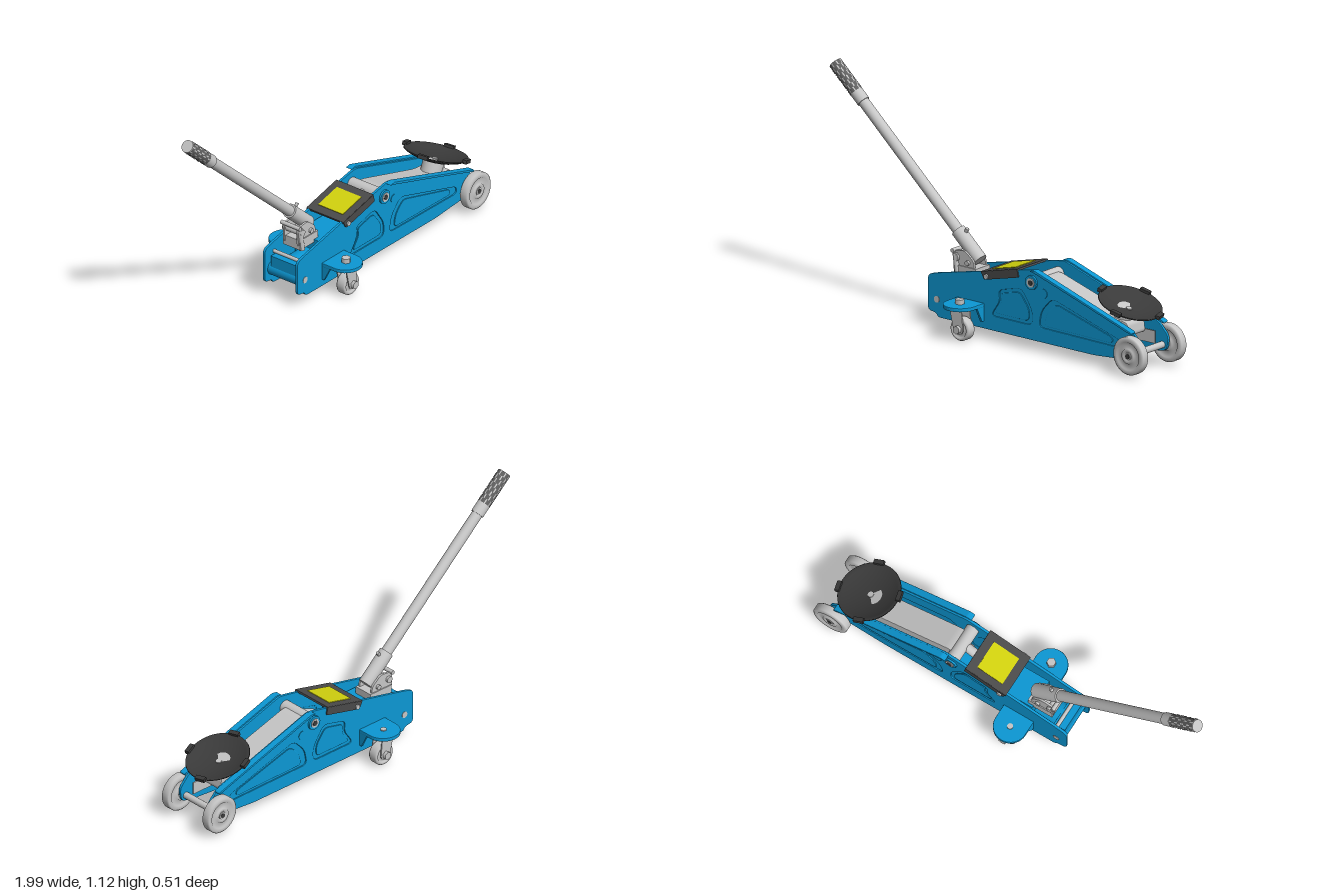
import * as THREE from 'three';

const mat = (name, color) => {
  const m = new THREE.MeshStandardMaterial({ color });
  m.name = name;
  return m;
};

export function createModel() {
  const root = new THREE.Group();
  root.name = 'floorJack';
  const blue = mat('bluePaint', 0x0c98d4);
  const steel = mat('lightSteel', 0xc6c6c6);
  const dark = mat('darkRubber', 0x3a3a3a);
  const cover = mat('coverGrey', 0x4a4a4a);
  const grip = mat('gripGrey', 0x606060);
  const yellow = mat('yellowLabel', 0xd2d20e);
  const V = (x, y, z = 0) => new THREE.Vector3(x, y, z);

  const add = (name, geo, m, x = 0, y = 0, z = 0, parent = root) => {
    const mesh = new THREE.Mesh(geo, m);
    mesh.name = name;
    mesh.position.set(x, y, z);
    parent.add(mesh);
    return mesh;
  };
  const box = (name, m, w, h, d, x, y, z, parent) => add(name, new THREE.BoxGeometry(w, h, d), m, x, y, z, parent);
  // cylinder between two points
  const rod = (name, m, a, b, r, seg = 24, r2 = r) => {
    const dir = b.clone().sub(a);
    const mesh = add(name, new THREE.CylinderGeometry(r2, r, dir.length(), seg), m);
    mesh.position.copy(a).add(b).multiplyScalar(0.5);
    mesh.quaternion.setFromUnitVectors(V(0, 1), dir.normalize());
    return mesh;
  };
  // closed polygon with rounded corners
  const rounded = (pts, r, Type = THREE.Shape) => {
    const s = new Type(), n = pts.length;
    pts.forEach((p, i) => {
      const c = new THREE.Vector2(...p);
      const toward = q => {
        const d = new THREE.Vector2(...q).sub(c);
        return c.clone().add(d.setLength(Math.min(r, d.length() * 0.45)));
      };
      const a = toward(pts[(i + n - 1) % n]), b = toward(pts[(i + 1) % n]);
      i ? s.lineTo(a.x, a.y) : s.moveTo(a.x, a.y);
      s.quadraticCurveTo(c.x, c.y, b.x, b.y);
    });
    s.closePath();
    return s;
  };
  const extrude = (shape, depth, bevel = 0) => new THREE.ExtrudeGeometry(shape, {
    depth: depth - 2 * bevel, bevelEnabled: bevel > 0, bevelSize: bevel, bevelThickness: bevel,
    bevelOffset: -bevel, bevelSegments: 2, curveSegments: 8,
  }).translate(0, 0, bevel - depth / 2);

  // Side plates with pressed panels
  const outline = [[-0.33, 0.075], [-0.28, 0.07], [-0.27, 0.05], [0.66, 0.05], [0.84, 0.065], [0.93, 0.08],
    [0.94, 0.15], [0.88, 0.212], [0.32, 0.39], [0.24, 0.375], [-0.1, 0.3], [-0.28, 0.26], [-0.33, 0.245]];
  const panels = [
    [[0.045, 0.12], [0.29, 0.12], [0.29, 0.19], [0.225, 0.285], [0.09, 0.25], [0.1, 0.2]],
    [[0.33, 0.12], [0.81, 0.115], [0.81, 0.15], [0.41, 0.27], [0.345, 0.2]],
  ];
  for (const s of [1, -1]) {
    const side = new THREE.Group();
    side.name = s > 0 ? 'frontSide' : 'backSide';
    root.add(side);
    const plate = rounded(outline, 0.025);
    panels.forEach(p => plate.holes.push(rounded(p, 0.03, THREE.Path)));
    add('sidePlate', extrude(plate, 0.014, 0.003), blue, 0, 0, s * 0.096, side);
    panels.forEach(p => {
      add('pressedPanel', extrude(rounded(p, 0.03), 0.006), blue, 0, 0, s * 0.094, side);
      const mid = p.reduce((a, q) => [a[0] + q[0] / p.length, a[1] + q[1] / p.length], [0, 0]);
      const inner = p.map(q => [mid[0] + (q[0] - mid[0]) * 0.84, mid[1] + (q[1] - mid[1]) * 0.78]);
      add('panelField', extrude(rounded(inner, 0.025), 0.008, 0.002), blue, 0, 0, s * 0.098, side);
    });
    // outward flange along the sloping top edge
    add('topFlange', extrude(rounded([[0.3, 0.388], [0.33, 0.394], [0.6, 0.308], [0.9, 0.212], [0.9, 0.2],
      [0.6, 0.296], [0.33, 0.38]], 0.006), 0.034, 0.003), blue, 0, 0, s * 0.116, side);
    // pivot boss, dimple and rear hole
    const disc = (name, m, r, d, x, y, z) =>
      add(name, new THREE.CylinderGeometry(r, r, d, 24).rotateX(Math.PI / 2), m, x, y, s * z, side);
    disc('pivotBoss', blue, 0.034, 0.012, 0.29, 0.325, 0.106);
    disc('pivotPin', steel, 0.022, 0.012, 0.29, 0.325, 0.109);
    disc('pivotBore', dark, 0.013, 0.004, 0.29, 0.325, 0.114);
    disc('dimple', blue, 0.022, 0.008, 0.36, 0.285, 0.102);
    disc('rearPin', steel, 0.016, 0.01, -0.275, 0.135, 0.1);
    disc('coverRivet', steel, 0.012, 0.01, 0.025, 0.303, 0.112);

    // Front wheel
    const rim = [[0, 0.018], [0.02, 0.018], [0.022, 0.023], [0.036, 0.023], [0.038, 0.016], [0.062, 0.016],
      [0.066, 0.022], [0.083, 0.022], [0.09, 0.016]];
    const profile = [...rim.map(([r, h]) => [r, -h]), ...rim.slice().reverse()].map(p => new THREE.Vector2(...p));
    const wheel = (name, k, w, x, y, z) => add(name,
      new THREE.LatheGeometry(profile.map(p => p.clone().multiply(new THREE.Vector2(k, w))), 40).rotateX(Math.PI / 2),
      steel, x, y, z, side);
    wheel('frontWheel', 1, 1, 0.905, 0.105, s * 0.136);
    disc('axleEnd', steel, 0.018, 0.01, 0.905, 0.105, 0.155);
    disc('axleRecess', dark, 0.012, 0.003, 0.905, 0.105, 0.16);

    // Caster wing with rounded end and gussets
    const wing = new THREE.Shape();
    wing.moveTo(-0.155, s * 0.095);
    for (let i = 0; i <= 20; i++) {
      const a = Math.PI * (1 - i / 20);
      wing.lineTo(-0.075 + 0.08 * Math.cos(a), s * (0.175 + 0.08 * Math.sin(a)));
    }
    wing.lineTo(0.005, s * 0.095);
    add('casterWing', extrude(wing, 0.018, 0.003).rotateX(Math.PI / 2), blue, 0, 0.161, 0, side);
    for (const x of [-0.148, -0.002]) {
      const gusset = new THREE.Shape([[0.095, 0.085], [0.115, 0.085], [0.15, 0.155], [0.095, 0.155]]
        .map(([z, y]) => new THREE.Vector2(s * z, y)));
      add('wingGusset', extrude(gusset, 0.012).rotateY(-Math.PI / 2), blue, x, 0, 0, side);
    }
    // Swivel caster
    wheel('casterWheel', 0.61, 1.1, -0.06, 0.055, s * 0.177);
    for (const z of [0.148, 0.207]) {
      add('casterFork', extrude(rounded([[-0.11, 0.15], [-0.04, 0.15], [-0.03, 0.045], [-0.06, 0.03], [-0.085, 0.045]],
        0.018), 0.006), steel, 0, 0, s * z, side);
    }
    box('forkCrown', steel, 0.07, 0.008, 0.062, -0.075, 0.147, s * 0.178, side);
    disc('casterAxle', steel, 0.012, 0.09, -0.06, 0.057, 0.18);
    add('casterNut', new THREE.CylinderGeometry(0.02, 0.02, 0.016, 6).rotateX(Math.PI / 2), steel,
      -0.06, 0.057, s * 0.218, side);
    add('casterStem', new THREE.CylinderGeometry(0.014, 0.014, 0.03, 20), steel, -0.075, 0.16, s * 0.178, side);
    if (s > 0) add('casterBolt', new THREE.CylinderGeometry(0.022, 0.022, 0.022, 6), steel, -0.075, 0.182, 0.18, side);

    // Parallel link inside the plate
    rod('linkBar', steel, V(0.28, 0.11, s * 0.078), V(0.85, 0.12, s * 0.078), 0.011, 12);
    box('armCheek', steel, 0.12, 0.06, 0.006, 0.82, 0.14, s * 0.068, side);
  }

  // Cross members and hydraulic body
  const cross = (name, m, x, y, r, h = 0.09) => rod(name, m, V(x, y, -h), V(x, y, h), r);
  cross('rearTube', blue, -0.275, 0.135, 0.036);
  cross('frontAxle', steel, 0.905, 0.105, 0.016, 0.15);
  cross('armPivot', steel, 0.29, 0.325, 0.032, 0.088);
  cross('rearRod', steel, -0.265, 0.215, 0.009, 0.1);
  rod('hydraulicCylinder', blue, V(-0.25, 0.14), V(0.3, 0.14), 0.065, 32);
  rod('ram', steel, V(0.28, 0.14), V(0.5, 0.15), 0.026);
  rod('ramEye', steel, V(0.2, 0.29), V(0.27, 0.32), 0.022);
  box('pumpBlock', blue, 0.2, 0.12, 0.15, -0.03, 0.2, 0);
  box('rearBlock', blue, 0.06, 0.06, 0.15, -0.275, 0.18, 0);

  // Lifting arm
  add('liftArm', extrude(rounded([[0.27, 0.345], [0.33, 0.345], [0.7, 0.235], [0.82, 0.225], [0.83, 0.16],
    [0.7, 0.13], [0.3, 0.27]], 0.02), 0.12, 0.004), steel);
  rod('saddlePost', steel, V(0.745, 0.2), V(0.775, 0.275), 0.05, 28);

  // Tilted dished saddle with rim teeth
  const saddle = new THREE.Group();
  saddle.name = 'saddle';
  saddle.position.set(0.778, 0.265, 0);
  saddle.rotation.z = -0.32;
  root.add(saddle);
  const dish = [[0, 0], [0.05, 0.002], [0.1, 0.013], [0.135, 0.026], [0.152, 0.035], [0.15, 0.041],
    [0.132, 0.033], [0.1, 0.021], [0.05, 0.01], [0, 0.008]].map(p => new THREE.Vector2(...p));
  add('saddleDish', new THREE.LatheGeometry(dish, 48), dark, 0, 0, 0, saddle);
  add('saddleBolt', new THREE.CylinderGeometry(0.014, 0.014, 0.006, 16), steel, 0, 0.01, 0, saddle);
  for (let i = 0; i < 4; i++) {
    const a = 0.25 + i * Math.PI / 2;
    const tooth = box('saddleTooth', dark, 0.022, 0.018, 0.05, 0.152 * Math.cos(a), 0.041, -0.152 * Math.sin(a), saddle);
    tooth.rotation.y = a;
  }

  // Sloping cover with label
  const lid = new THREE.Group();
  lid.name = 'topCover';
  lid.position.set(0.1, 0.343, 0);
  lid.rotation.z = 0.24;
  root.add(lid);
  box('coverPlate', cover, 0.222, 0.01, 0.216, 0, 0, 0, lid);
  box('coverLabel', yellow, 0.138, 0.004, 0.145, 0, 0.006, 0, lid);
  for (const s of [1, -1]) {
    add('coverFlap', extrude(rounded([[-0.111, 0.004], [-0.1, -0.035], [0.11, -0.035], [0.111, 0.004]], 0.008), 0.006),
      cover, 0, 0, s * 0.107, lid);
  }

  // Handle, socket and grip
  const hz = -0.014;
  const along = t => V(-0.115 - 0.745 * t, 0.325 + 0.667 * t, hz);
  rod('handleSocket', steel, along(0), along(0.175), 0.034, 28);
  rod('handleTube', steel, along(0.15), along(0.96), 0.026, 28);
  rod('gripCollar', steel, along(0.93), along(0.985), 0.031, 28);
  rod('gripCore', steel, along(0.98), along(1.158), 0.03, 28);
  const gripGroup = new THREE.Group();
  gripGroup.name = 'gripPattern';
  gripGroup.position.copy(along(0.985));
  gripGroup.quaternion.setFromUnitVectors(V(0, 1), along(1).sub(along(0)).normalize());
  root.add(gripGroup);
  const pad = new THREE.CylinderGeometry(0.032, 0.032, 0.021, 4, 1, true, 0, Math.PI / 5.2);
  for (let row = 0; row < 8; row++) {
    for (let c = 0; c < 8; c++) {
      add('gripPad', pad, grip, 0, 0.012 + row * 0.0212, 0, gripGroup).rotation.y = (c + (row % 2) * 0.35) * Math.PI / 4;
    }
  }

  // Yoke and pins at the foot of the handle
  box('yokeBase', steel, 0.13, 0.05, 0.1, -0.165, 0.27, hz);
  for (const z of [-0.04, 0.04]) {
    add('yokeCheek', extrude(rounded([[-0.235, 0.26], [-0.11, 0.26], [-0.115, 0.325], [-0.17, 0.37], [-0.24, 0.36]],
      0.02), 0.01), steel, 0, 0, hz + z);
  }
  for (const [x, y, r] of [[-0.15, 0.315, 0.012], [-0.215, 0.33, 0.016], [-0.235, 0.36, 0.01]]) {
    rod('yokePin', steel, V(x, y, hz - 0.056), V(x, y, hz + 0.056), r, 16);
  }
  rod('releaseValve', steel, V(-0.21, 0.24, 0.03), V(-0.225, 0.35, 0.03), 0.014, 16);
  rod('socketScrew', steel, V(-0.21, 0.43, hz), V(-0.19, 0.46, hz), 0.009, 6);
  return root;
}
